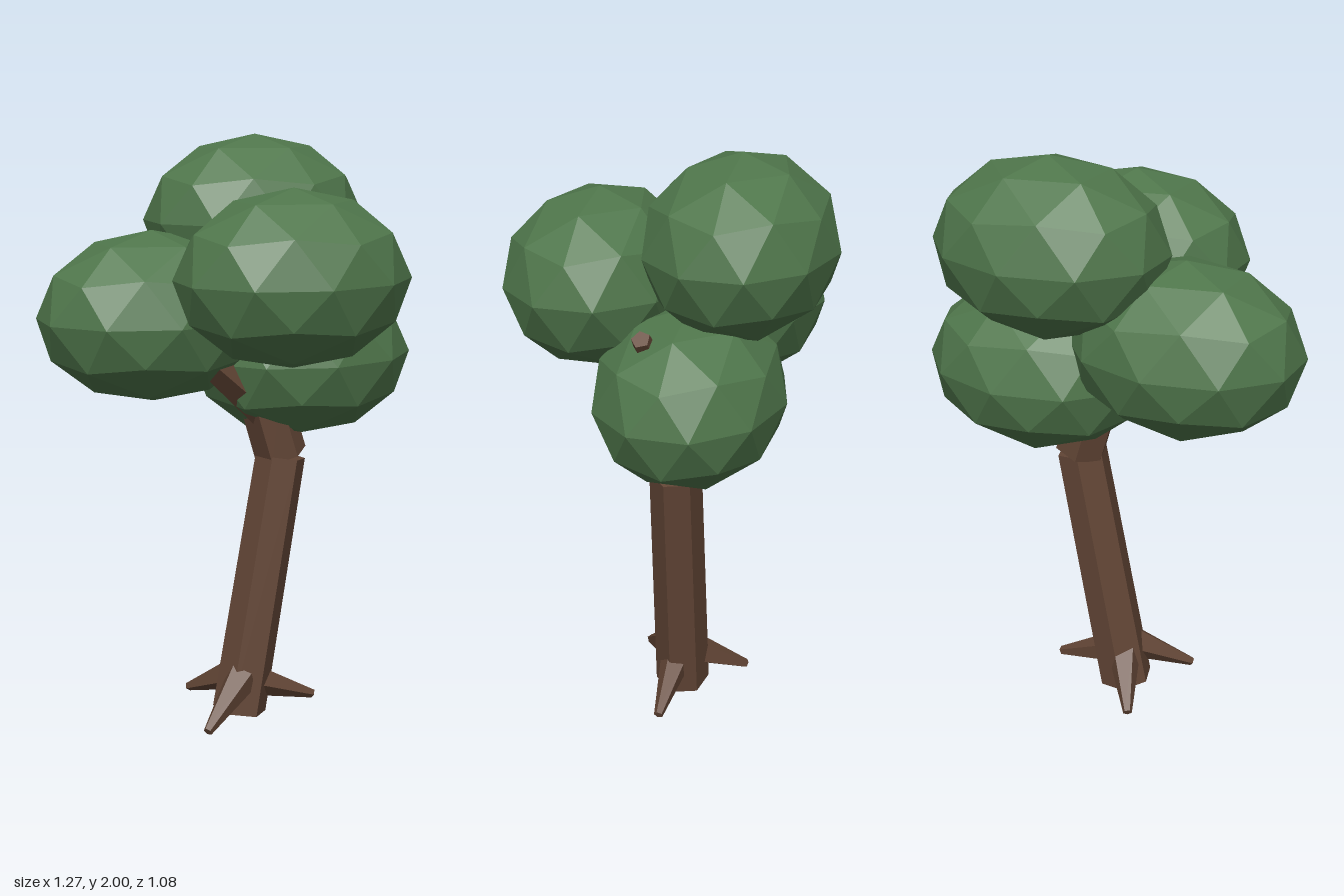
import * as THREE from 'three';

const bark = new THREE.MeshStandardMaterial({ color: 0x634636, flatShading: true });
bark.name = 'bark brown';
const leaf = new THREE.MeshStandardMaterial({ color: 0x4f764b, flatShading: true });
leaf.name = 'leaf green';

// Tapered low-poly limb running from one point to another
function limb(name, from, to, r0, r1, sides, twist = 0) {
  const a = new THREE.Vector3(...from);
  const b = new THREE.Vector3(...to);
  const dir = b.clone().sub(a);
  const geo = new THREE.CylinderGeometry(r1, r0, dir.length(), sides);
  geo.rotateY(THREE.MathUtils.degToRad(twist));
  const mesh = new THREE.Mesh(geo, bark);
  mesh.name = name;
  mesh.position.copy(a).add(b).multiplyScalar(0.5);
  mesh.quaternion.setFromUnitVectors(new THREE.Vector3(0, 1, 0), dir.normalize());
  return mesh;
}

export function createModel() {
  const tree = new THREE.Group();
  tree.name = 'tree';

  // Leaning trunk, with a short upper piece bent back the other way
  tree.add(limb('trunk', [-0.003, 0.018, -0.01], [0.157, 0.922, -0.03], 0.095, 0.087, 6, 18));
  tree.add(limb('upperTrunk', [0.16, 0.925, -0.035], [0.095, 1.14, -0.035], 0.09, 0.088, 6, 18));

  // Branches reaching into the foliage
  const branches = [
    [[0.11, 1.08, -0.03], [-0.38, 1.5, 0.11], 0.07],
    [[0.12, 1.08, -0.03], [0.46, 1.5, -0.01], 0.07],
    [[0.1, 1.1, -0.03], [0.12, 1.62, -0.18], 0.08],
    [[0.1, 1.1, -0.03], [0.08, 1.5, 0.18], 0.07],
  ];
  branches.forEach(([a, b, r], i) => tree.add(limb('branch' + (i + 1), a, b, r, 0.03, 5)));

  // Three roots spreading over the ground
  const roots = [
    [[0.03, 0.13, 0], [0.275, 0.033, 0]],
    [[-0.01, 0.15, 0.03], [-0.185, 0.033, 0.165]],
    [[-0.01, 0.14, -0.04], [-0.12, 0.033, -0.22]],
  ];
  roots.forEach(([a, b], i) => tree.add(limb('root' + (i + 1), a, b, 0.06, 0.016, 5)));

  // Foliage: faceted balls with a corner straight up, flattened
  const ball = new THREE.IcosahedronGeometry(1, 1);
  ball.rotateZ(-Math.atan(2 / (1 + Math.sqrt(5))));
  const clumps = {
    topFoliage: [0.14, 1.715, -0.235],
    frontFoliage: [0.085, 1.565, 0.235],
    rightFoliage: [-0.269, 1.415, -0.12],
    leftFoliage: [0.264, 1.26, -0.11],
  };
  for (const [name, pos] of Object.entries(clumps)) {
    const mesh = new THREE.Mesh(ball, leaf);
    mesh.name = name;
    mesh.position.set(...pos);
    mesh.scale.set(0.39, 0.285, 0.307);
    tree.add(mesh);
  }
  return tree;
}
